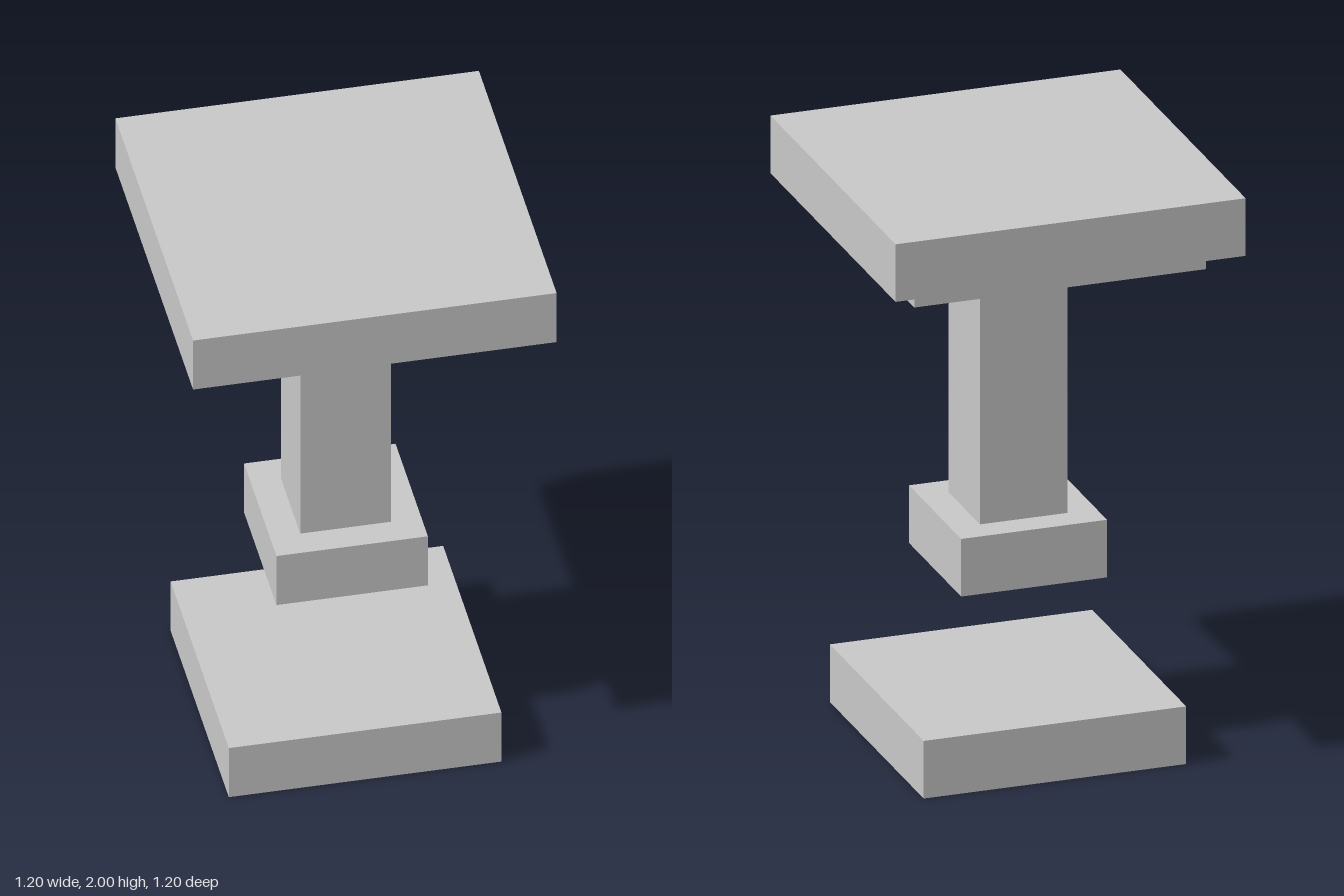
import * as THREE from 'three';

export function createModel() {
  const model = new THREE.Group();
  model.name = 'pedestal';

  const stone = new THREE.MeshStandardMaterial({ color: 0xc8c8c8 });
  stone.name = 'light grey stone';

  // Square slab of a given width between two heights
  function slab(name, width, bottom, top) {
    const mesh = new THREE.Mesh(new THREE.BoxGeometry(width, top - bottom, width), stone);
    mesh.name = name;
    mesh.position.y = (bottom + top) / 2;
    model.add(mesh);
  }

  // Separate floor plate, with the column floating above it
  slab('basePlate', 0.9, 0, 0.2);
  slab('columnFoot', 0.5, 0.6, 0.8);
  slab('columnShaft', 0.3, 0.8, 1.73);

  // Stepped top
  slab('underPlate', 1, 1.73, 1.8);
  slab('topPlate', 1.2, 1.8, 2);

  return model;
}
